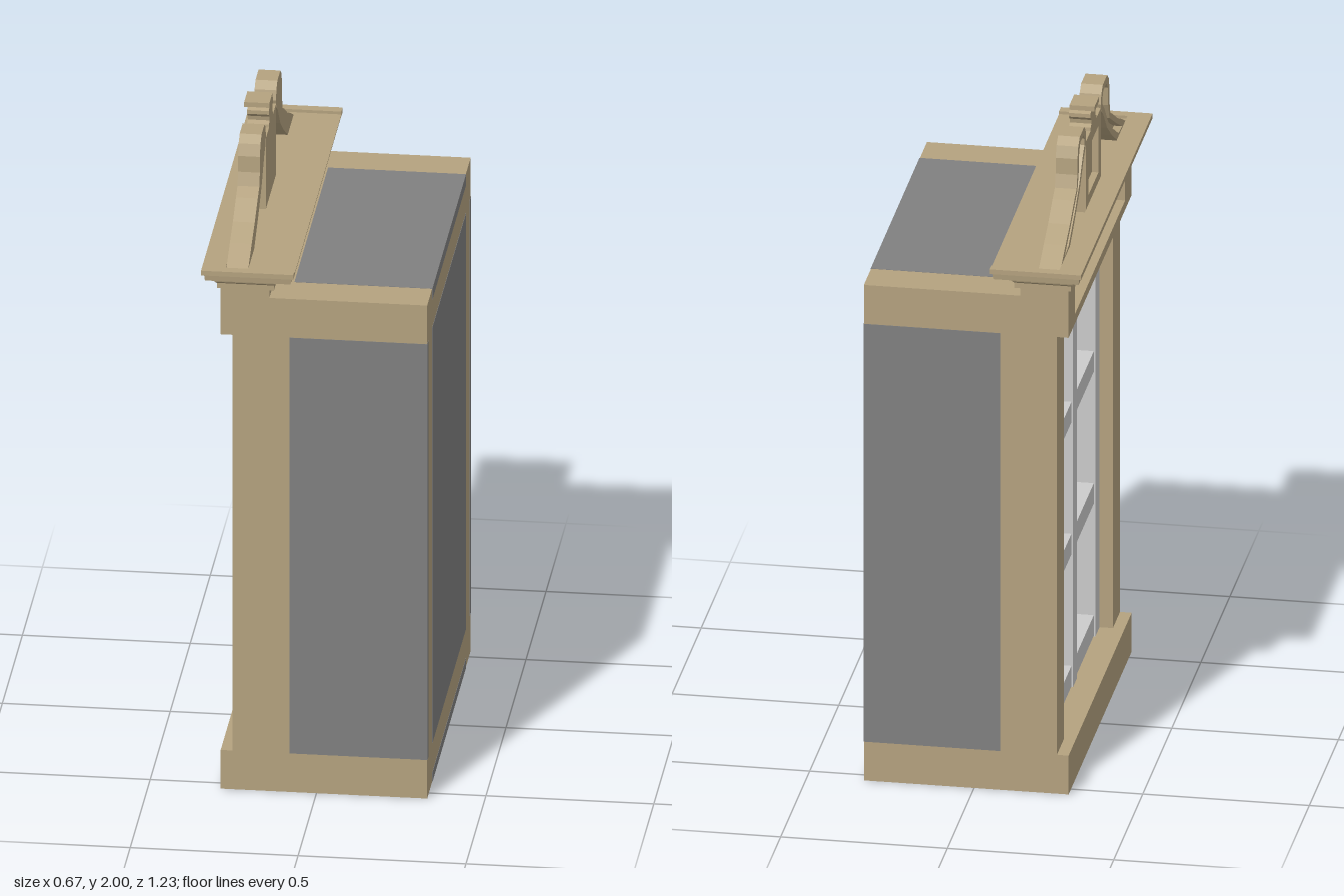
import * as THREE from 'three';

const wood = new THREE.MeshStandardMaterial({ color: 0xb4a27f, side: THREE.DoubleSide });
const panelGrey = new THREE.MeshStandardMaterial({ color: 0x808080 });
const frameGrey = new THREE.MeshStandardMaterial({ color: 0xcccccc });
const black = new THREE.MeshStandardMaterial({ color: 0x111111 });

export function createModel() {
  const group = new THREE.Group();
  const add = (name, geo, mat) => {
    const mesh = new THREE.Mesh(geo, mat);
    mesh.name = name;
    group.add(mesh);
    return mesh;
  };
  // Box given by its limits on each axis
  const box = (name, x0, x1, y0, y1, z0, z1, mat = wood) => {
    const geo = new THREE.BoxGeometry(x1 - x0, y1 - y0, z1 - z0);
    geo.translate((x0 + x1) / 2, (y0 + y1) / 2, (z0 + z1) / 2);
    return add(name, geo, mat);
  };
  // Outline in (z, y), extruded from xBack towards xFront (-x)
  const toPoints = (pts, s) => pts.map(([z, y]) => new THREE.Vector2(z * s, y));
  const slab = (name, pts, xBack, xFront, hole, s = 1) => {
    const shape = new THREE.Shape(toPoints(pts, s));
    if (hole) shape.holes.push(new THREE.Path(toPoints(hole, s)));
    const geo = new THREE.ExtrudeGeometry(shape, { depth: xBack - xFront, bevelEnabled: false });
    geo.rotateY(-Math.PI / 2);
    geo.translate(xBack, 0, 0);
    return add(name, geo, wood);
  };
  const rect = (z, y0, y1) => [[-z, y0], [z, y0], [z, y1], [-z, y1]];
  // Stack of rectangular rings [y, x0, x1, halfZ]
  const ringLoft = (name, rings) => {
    const pos = [], idx = [];
    for (const [y, x0, x1, z] of rings) pos.push(x0, y, -z, x0, y, z, x1, y, z, x1, y, -z);
    for (let r = 0; r < rings.length - 1; r++) {
      for (let i = 0; i < 4; i++) {
        const a = r * 4 + i, b = r * 4 + (i + 1) % 4;
        idx.push(a, b, b + 4, a, b + 4, a + 4);
      }
    }
    const t = (rings.length - 1) * 4;
    idx.push(t, t + 1, t + 2, t, t + 2, t + 3, 0, 2, 1, 0, 3, 2);
    const indexed = new THREE.BufferGeometry();
    indexed.setAttribute('position', new THREE.Float32BufferAttribute(pos, 3));
    indexed.setIndex(idx);
    const geo = indexed.toNonIndexed();
    geo.computeVertexNormals();
    return add(name, geo, wood);
  };

  // Cabinet body, base and corner posts
  const W = 0.543, P = 0.42, lo = 0.125, hi = 1.47, e = 0.001;
  box('body', -0.15, 0.33, lo, 1.595, -W, W);
  box('base', -0.285, 0.33, 0, lo, -W, W);
  for (const s of [-1, 1]) {
    const z = [s * P, s * W].sort((a, b) => a - b);
    box('cornerPost', -0.25, -0.15, lo, hi, z[0], z[1]);
  }

  // Flush grey panels on back, sides, top and bottom
  box('backPanel', 0.3, 0.33 + e, lo, hi, -P, P, panelGrey);
  box('topPanel', -0.08, 0.33 + e, 1.56, 1.595 + e, -P, P, panelGrey);
  box('bottomPanel', -0.08, 0.33 + e, -e, 0.03, -P, P, panelGrey);
  box('sidePanel', -0.08, 0.33 + e, lo, hi, W - 0.03, W + e, panelGrey);
  box('sidePanel', -0.08, 0.33 + e, lo, hi, -W - e, -W + 0.03, panelGrey);

  // Window: glass, stiles, mullion, rails and glazing bars
  box('glass', -0.155, -0.149, lo, hi, -P, P, black);
  for (const z of [-0.385, 0, 0.385]) {
    box('windowStile', -0.21, -0.15, lo, hi, z - 0.035, z + 0.035, frameGrey);
  }
  for (let i = 0; i < 4; i++) {
    const y = 0.16 + (i / 3) * (1.435 - 0.16);
    box('windowRail', -0.205, -0.15, y - 0.033, y + 0.033, -P, P, frameGrey);
  }

  // Frieze with a sunk panel
  box('friezeBack', -0.25, -0.14, hi, 1.63, -W, W);
  slab('friezeFrame', rect(W, hi, 1.63), -0.25, -0.285, rect(0.43, 1.5, 1.6));

  // Stepped cornice with a raised rim on three sides
  ringLoft('cornice', [
    [1.62, -0.285, -0.14, 0.545], [1.625, -0.295, -0.125, 0.557], [1.642, -0.295, -0.125, 0.557],
    [1.65, -0.3, -0.12, 0.568], [1.665, -0.303, -0.11, 0.573], [1.668, -0.325, -0.07, 0.602],
    [1.685, -0.327, -0.067, 0.604], [1.692, -0.335, -0.06, 0.616], [1.696, -0.335, -0.06, 0.616],
  ]);
  box('corniceRim', -0.335, -0.265, 1.69, 1.705, -0.616, 0.616);
  box('corniceRim', -0.265, -0.06, 1.69, 1.705, 0.585, 0.616);
  box('corniceRim', -0.265, -0.06, 1.69, 1.705, -0.616, -0.585);

  // Swan-neck scrolls: back plate plus raised border
  const scroll = [
    [0.57, 1.695], [0.42, 1.695], [0.32, 1.755], [0.235, 1.815], [0.17, 1.885], [0.135, 1.91],
    [0.127, 1.935], [0.135, 1.965], [0.16, 1.985], [0.235, 1.985], [0.262, 1.965],
    [0.275, 1.93], [0.277, 1.88], [0.29, 1.84], [0.37, 1.805], [0.45, 1.765],
  ].filter(([z, y]) => !(z > 0.3 && y > 1.76));
  scroll.push([0.34, 1.815 + 0.015], [0.41, 1.79], [0.5, 1.738]);
  // Keep the upper sweep slim, following the lower one
  scroll.splice(scroll.length - 3, 3, [0.33, 1.82], [0.405, 1.775], [0.48, 1.74]);
  const inset = [
    [0.495, 1.71], [0.43, 1.715], [0.33, 1.773], [0.25, 1.83], [0.185, 1.9], [0.155, 1.925],
    [0.155, 1.945], [0.17, 1.963], [0.225, 1.963], [0.245, 1.94], [0.253, 1.88], [0.275, 1.83], [0.395, 1.762],
  ];
  for (const s of [-1, 1]) {
    slab('scrollBack', scroll, -0.2, -0.24, null, s);
    slab('scrollBorder', scroll, -0.24, -0.265, inset, s);
  }

  // Central pedestal with a sunk panel, and the keystone finial
  box('pedestal', -0.245, -0.2, 1.695, 1.925, -0.127, 0.127);
  slab('pedestalFrame', rect(0.127, 1.695, 1.925), -0.245, -0.265, rect(0.085, 1.735, 1.885));
  const half = [[0.05, 1.92], [0.048, 1.935], [0.034, 1.942], [0.036, 1.955], [0.052, 1.968], [0.052, 1.98], [0.038, 1.986], [0.038, 2]];
  const mirrored = half.map(([z, y]) => [-z, y]).reverse();
  slab('finial', [...half, ...mirrored], -0.2, -0.265);
  box('finialCap', -0.275, -0.2, 1.984, 2, -0.04, 0.04);

  return group;
}
